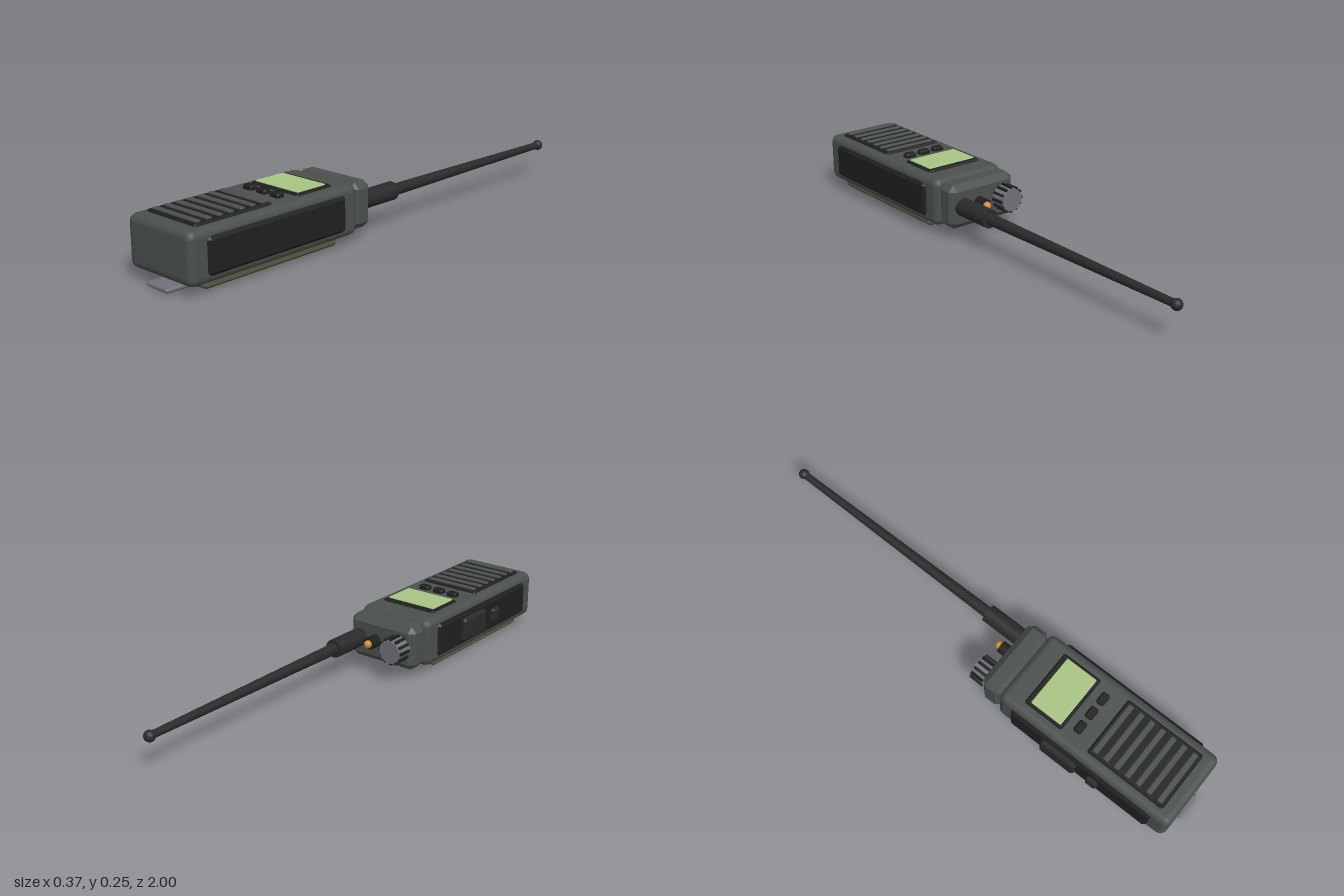
import * as THREE from 'three';
import { RoundedBoxGeometry } from 'three/addons/geometries/RoundedBoxGeometry.js';
import { ConvexGeometry } from 'three/addons/geometries/ConvexGeometry.js';

const makeMaterial = (name, color) => {
  const m = new THREE.MeshStandardMaterial({ color });
  m.name = name;
  return m;
};

export function createModel() {
  const radio = new THREE.Group();
  radio.name = 'handheldRadio';

  const casing = makeMaterial('casing grey', 0x4a504d);
  const rubber = makeMaterial('dark rubber', 0x2a2a2b);
  const black = makeMaterial('black plastic', 0x1f1f20);
  const screenGreen = makeMaterial('screen green', 0xa9c484);
  const olive = makeMaterial('battery olive', 0x555a42);
  const steel = makeMaterial('clip steel', 0x707078);
  const amber = makeMaterial('amber lamp', 0xd08a34);

  const add = (name, geometry, material, x = 0, y = 0, z = 0) => {
    const mesh = new THREE.Mesh(geometry, material);
    mesh.name = name;
    mesh.position.set(x, y, z);
    radio.add(mesh);
    return mesh;
  };

  // Box with every edge chamfered, given by its limits on each axis
  const chamferBox = (name, material, [x0, x1], [y0, y1], [z0, z1], c) => {
    const h = [(x1 - x0) / 2, (y1 - y0) / 2, (z1 - z0) / 2];
    const points = [];
    for (const sx of [-1, 1]) for (const sy of [-1, 1]) for (const sz of [-1, 1]) {
      for (let full = 0; full < 3; full++) {
        const [x, y, z] = h.map((v, i) => (i === full ? v : v - c));
        points.push(new THREE.Vector3(sx * x, sy * y, sz * z));
      }
    }
    return add(name, new ConvexGeometry(points), material, (x0 + x1) / 2, (y0 + y1) / 2, (z0 + z1) / 2);
  };

  // Cylinder running along z from zFront back to zBack
  const rod = (name, material, x, y, zFront, zBack, rFront, rBack, sides) => {
    const g = new THREE.CylinderGeometry(rBack, rFront, zFront - zBack, sides).rotateX(-Math.PI / 2);
    return add(name, g, material, x, y, (zFront + zBack) / 2);
  };

  // Casing and top collar
  const cx = 0.008;
  add('body', new RoundedBoxGeometry(0.326, 0.192, 0.77, 2, 0.03), casing, cx, 0.132, 0.602);
  chamferBox('collar', casing, [-0.147, 0.16], [0.045, 0.222], [0.13, 0.225], 0.024);

  // Side grip panels
  for (const s of [-1, 1]) {
    const inner = cx + s * 0.14, outer = cx + s * 0.175;
    chamferBox(s > 0 ? 'leftGrip' : 'rightGrip', black,
      [Math.min(inner, outer), Math.max(inner, outer)], [0.065, 0.2], [0.285, 0.915], 0.012);
  }

  // Talk button and small key on the right side
  chamferBox('talkButton', rubber, [-0.185, -0.15], [0.082, 0.18], [0.435, 0.595], 0.01);
  chamferBox('sideKey', rubber, [-0.183, -0.15], [0.105, 0.16], [0.645, 0.695], 0.008);

  // Screen with its frame
  chamferBox('screenFrame', black, [-0.112, 0.13], [0.215, 0.236], [0.308, 0.477], 0.006);
  chamferBox('screen', screenGreen, [-0.1, 0.118], [0.232, 0.24], [0.329, 0.465], 0.002);

  // Three keys under the screen
  for (let i = 0; i < 3; i++) {
    const x = -0.06 + i * 0.068;
    chamferBox('key', black, [x - 0.024, x + 0.024], [0.22, 0.245], [0.508, 0.541], 0.006);
  }

  // Speaker grille
  chamferBox('grillePanel', black, [-0.117, 0.135], [0.215, 0.236], [0.597, 0.932], 0.006);
  for (let i = 0; i < 7; i++) {
    const z = 0.622 + i * 0.0475;
    chamferBox('grilleSlat', casing, [-0.103, 0.121], [0.23, 0.242], [z - 0.011, z + 0.011], 0.003);
  }

  // Battery and belt clip underneath
  chamferBox('battery', olive, [-0.13, 0.147], [0.01, 0.055], [0.3, 0.91], 0.01);
  chamferBox('beltClip', steel, [-0.046, 0.064], [0, 0.018], [0.73, 1], 0.006);

  // Antenna
  const ax = 0.106, ay = 0.134;
  rod('antennaBase', rubber, ax, ay, 0.145, -0.035, 0.036, 0.036, 20);
  rod('antennaWhip', rubber, ax, ay, -0.03, -0.98, 0.023, 0.014, 16);
  add('antennaTip', new THREE.SphereGeometry(0.021, 16, 12), rubber, ax, ay, -0.979);

  // Volume knob with grip ridges
  const kx = -0.084, ky = 0.135;
  rod('knob', steel, kx, ky, 0.14, 0.066, 0.048, 0.046, 24);
  for (let i = 0; i < 12; i++) {
    const a = (i / 12) * Math.PI * 2;
    const ridge = add('knobRidge', new THREE.BoxGeometry(0.012, 0.01, 0.056), black,
      kx + Math.cos(a) * 0.048, ky + Math.sin(a) * 0.048, 0.099);
    ridge.rotation.z = a;
  }

  // Status lamp in its socket
  rod('lampSocket', black, 0.03, ky, 0.14, 0.088, 0.026, 0.024, 16);
  add('lamp', new THREE.SphereGeometry(0.016, 16, 12), amber, 0.03, ky, 0.081);

  return radio;
}
